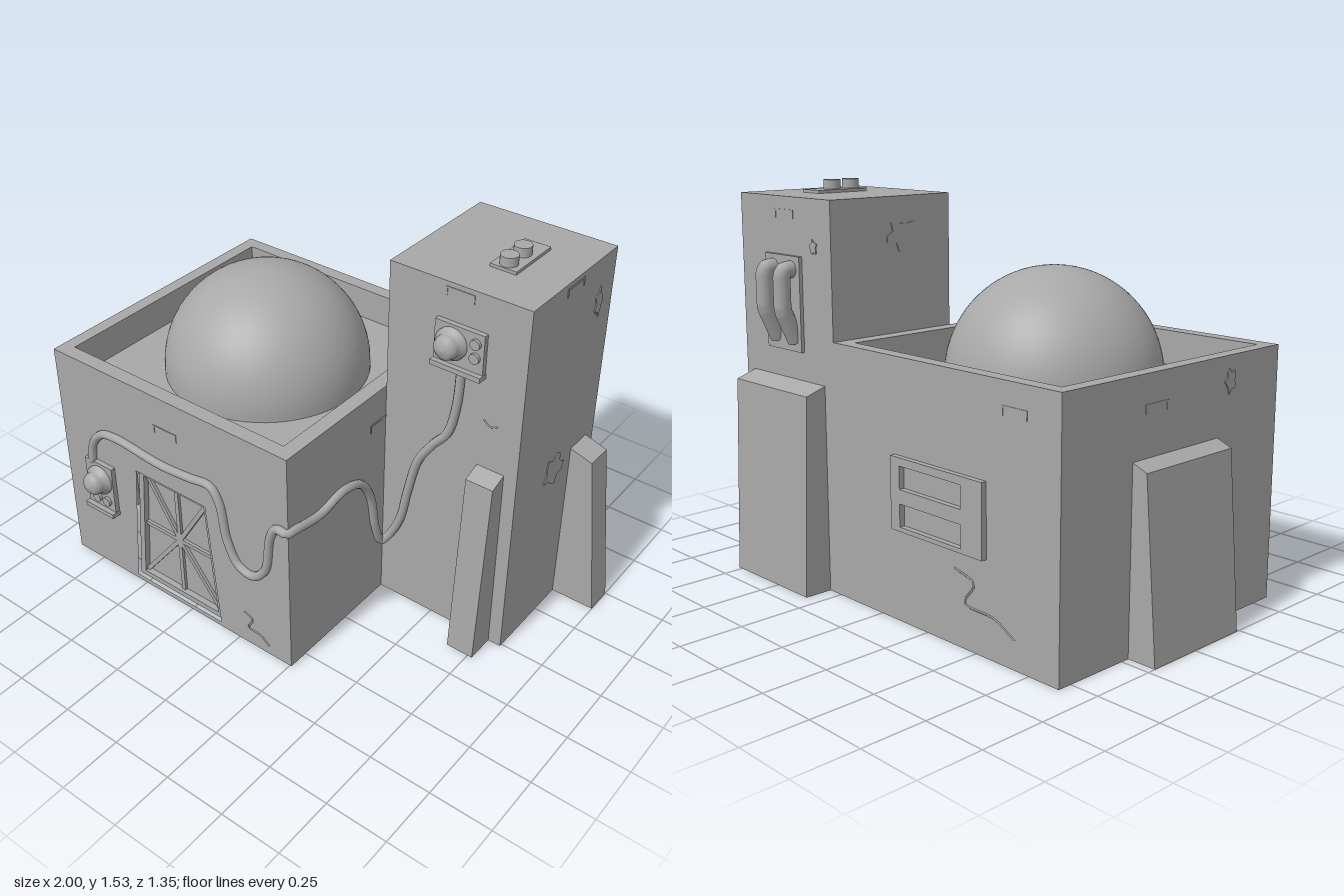
import * as THREE from 'three';

const plaster = new THREE.MeshStandardMaterial({ color: 0xa8a8a8, side: THREE.DoubleSide });
plaster.name = 'plaster grey';
const domePlaster = plaster;

const TURN = { front: 0, right: Math.PI / 2, back: Math.PI, left: -Math.PI / 2 };

function mesh(name, geo, x = 0, y = 0, z = 0) {
  const m = new THREE.Mesh(geo, plaster);
  m.name = name;
  m.position.set(x, y, z);
  return m;
}

// Sets an object built facing +z onto one of the four walls
function place(obj, side, x, y, z) {
  obj.position.set(x, y, z);
  obj.rotation.y = TURN[side];
  return obj;
}

function polygon(points, Type = THREE.Shape) {
  return new Type(points.map(p => new THREE.Vector2(p[0], p[1])));
}

function extrude(shape, depth) {
  return new THREE.ExtrudeGeometry(shape, { depth, bevelEnabled: false });
}

function rect(x0, y0, x1, y1) {
  return [[x0, y0], [x1, y0], [x1, y1], [x0, y1]];
}

// Box standing on y = 0 with chosen faces left open (0 +x, 1 -x, 2 +y, 3 -y, 4 +z, 5 -z)
function shell(name, x0, x1, h, z0, z1, open) {
  const geo = new THREE.BoxGeometry(x1 - x0, h, z1 - z0);
  const index = Array.from(geo.index.array);
  geo.setIndex(index.filter((v, i) => !open.includes(Math.floor(i / 6))));
  geo.clearGroups();
  return mesh(name, geo, (x0 + x1) / 2, h / 2, (z0 + z1) / 2);
}

// Leaning support with a sloped cap
function buttress(name, width, base, top, inner, outer) {
  const geo = extrude(polygon([[-0.01, 0], [base, 0], [top, outer], [0, inner], [-0.01, inner]]), width);
  geo.translate(0, 0, -width / 2);
  geo.rotateY(-Math.PI / 2);
  return mesh(name, geo);
}

// Wall unit: back plate, domed lamp, two buttons and a ledge
function controlBox(name, w, h, lamp, buttons) {
  const g = new THREE.Group();
  g.name = name;
  g.add(mesh('backPlate', new THREE.BoxGeometry(w, h, 0.02), 0, 0, 0.01));
  g.add(mesh('ledge', new THREE.BoxGeometry(w + 0.005, 0.02, 0.04), 0, -h / 2 + 0.01, 0.02));
  const profile = [[0.062, 0.015], [0.062, 0.033], [0.047, 0.037], [0.047, 0.055],
    [0.042, 0.072], [0.028, 0.084], [0, 0.09]].map(p => new THREE.Vector2(p[0], p[1]));
  const knob = new THREE.LatheGeometry(profile, 24);
  knob.rotateX(Math.PI / 2);
  g.add(mesh('lamp', knob, lamp[0], lamp[1], 0));
  for (const [x, y] of buttons) {
    const b = new THREE.CylinderGeometry(0.02, 0.02, 0.012, 16);
    b.rotateX(Math.PI / 2);
    g.add(mesh('button', b, x, y, 0.026));
  }
  return g;
}

// Exposed brick edge: a shallow upside-down U
function brickMark() {
  const g = new THREE.Group();
  g.name = 'brickMark';
  g.add(mesh('brickTop', new THREE.BoxGeometry(0.115, 0.007, 0.005), 0, 0.015, 0));
  for (const s of [-1, 1]) g.add(mesh('brickEnd', new THREE.BoxGeometry(0.007, 0.03, 0.005), s * 0.054, 0, 0));
  return g;
}

// Chipped plaster patch with an uneven outline
function patch(w, h, seed) {
  const pts = [];
  for (let i = 0; i < 14; i++) {
    const a = (i / 14) * Math.PI * 2;
    const r = 0.78 + 0.22 * Math.sin(i * 2.3 + seed);
    pts.push([Math.cos(a) * r * w / 2, Math.sin(a) * r * h / 2]);
  }
  return mesh('chippedPatch', extrude(polygon(pts), 0.004));
}

// Thin crack line along a wall
function crack(points) {
  const curve = new THREE.CatmullRomCurve3(points.map(p => new THREE.Vector3(p[0], p[1], 0)));
  return mesh('crack', new THREE.TubeGeometry(curve, 20, 0.004, 4));
}

export function createModel() {
  const model = new THREE.Group();
  model.name = 'domedHouse';
  const L = -0.885, R = 0.257, B = -0.557, F = 0.585, roofY = 0.84, wallY = 0.972;
  const TR = 0.822, TF = 0.012, TH = 1.487;

  // House walls, front wall with door opening, parapet
  model.add(shell('houseWalls', L, R, roofY, B, F, [3, 4]));
  const doorOutline = [[-0.545, 0.022], [-0.095, 0.022], [-0.142, 0.573], [-0.495, 0.573]];
  const front = polygon(rect(L, 0, R, roofY));
  front.holes.push(polygon(doorOutline, THREE.Path));
  model.add(mesh('frontWall', new THREE.ShapeGeometry(front), 0, 0, F));
  const ring = polygon(rect(L, -F, R, -B));
  ring.holes.push(polygon(rect(-0.832, -0.527, 0.198, 0.502), THREE.Path));
  const parapet = extrude(ring, wallY - roofY);
  parapet.rotateX(-Math.PI / 2);
  model.add(mesh('parapet', parapet, 0, roofY, 0));

  // Recessed door with radiating bars
  const door = new THREE.Group();
  door.name = 'door';
  const inset = [[-0.518, 0.045], [-0.122, 0.045], [-0.164, 0.55], [-0.473, 0.55]];
  const jamb = polygon(doorOutline);
  jamb.holes.push(polygon(inset, THREE.Path));
  door.add(mesh('doorFrame', extrude(jamb, 0.025), 0, 0, F - 0.04));
  door.add(mesh('doorPanel', new THREE.ShapeGeometry(polygon(doorOutline)), 0, 0, F - 0.04));
  const hub = [-0.319, 0.3];
  const ends = [...inset, [-0.319, 0.045], [-0.319, 0.55], [-0.495, 0.3], [-0.143, 0.3]];
  for (const [x, y] of ends) {
    const dx = x - hub[0], dy = y - hub[1];
    const bar = mesh('doorBar', new THREE.BoxGeometry(Math.hypot(dx, dy), 0.018, 0.012),
      hub[0] + dx / 2, hub[1] + dy / 2, F - 0.034);
    bar.rotation.z = Math.atan2(dy, dx);
    door.add(bar);
  }
  model.add(door);

  // Roof dome
  const dome = mesh('dome', new THREE.SphereGeometry(0.4, 64, 20, 0, Math.PI * 2, 0, Math.PI / 2), -0.313, 0.858, 0.01);
  dome.material = domePlaster;
  model.add(dome);
  model.add(mesh('domeBase', new THREE.CylinderGeometry(0.4, 0.4, 0.02, 64, 1, true), -0.313, 0.849, 0.01));

  // Tower
  model.add(shell('tower', R, TR, TH, B, TF, [3]));

  // Buttresses
  model.add(place(buttress('leftWallButtress', 0.455, 0.115, 0.06, 0.685, 0.66), 'left', L, 0, 0.01));
  model.add(place(buttress('towerSideButtress', 0.113, 0.178, 0.093, 0.71, 0.682), 'right', TR, 0, -0.444));
  model.add(place(buttress('towerFrontButtress', 0.112, 0.118, 0.07, 0.8, 0.775), 'front', 0.713, 0, TF));
  model.add(place(buttress('towerBackButtress', 0.455, 0.113, 0.085, 0.8, 0.772), 'back', 0.542, 0, B));

  // Control boxes
  model.add(place(controlBox('houseControlBox', 0.145, 0.23, [0.005, 0.04], [[-0.018, -0.055], [0.035, -0.055]]),
    'front', -0.69, 0.415, F));
  model.add(place(controlBox('towerControlBox', 0.2, 0.175, [-0.028, 0.015], [[0.068, 0.047], [0.068, -0.008]]),
    'front', 0.563, 1.255, TF));

  // Cable from the house box round the corner and up the tower
  const zf = F + 0.008, xs = R + 0.01, zt = TF + 0.012;
  const cablePts = [
    [-0.73, 0.52, zf], [-0.715, 0.61, zf], [-0.66, 0.675, zf], [-0.58, 0.692, zf], [-0.35, 0.675, zf],
    [-0.2, 0.685, zf], [-0.1, 0.695, zf], [-0.06, 0.64, zf], [-0.03, 0.48, zf], [0.02, 0.385, zf],
    [0.09, 0.368, zf], [0.15, 0.43, zf], [0.18, 0.6, zf], [0.21, 0.655, zf], [xs - 0.008, 0.657, zf],
    [xs, 0.657, F - 0.03], [xs, 0.635, 0.42], [xs, 0.657, 0.28], [xs, 0.625, 0.18], [xs, 0.53, 0.115],
    [xs, 0.35, 0.075], [xs + 0.003, 0.26, zt + 0.012], [0.3, 0.3, zt], [0.345, 0.4, zt], [0.375, 0.55, zt],
    [0.415, 0.71, zt], [0.475, 0.81, zt], [0.535, 0.89, zt], [0.565, 1.02, zt], [0.575, 1.18, zt],
  ].map(p => new THREE.Vector3(...p));
  model.add(mesh('cable', new THREE.TubeGeometry(new THREE.CatmullRomCurve3(cablePts), 220, 0.017, 10)));

  // Slotted vent on the back wall
  const vent = polygon(rect(-0.233, -0.135, 0.233, 0.135));
  for (const y of [-0.118, 0.02]) vent.holes.push(polygon(rect(-0.185, y, 0.13, y + 0.085), THREE.Path));
  model.add(place(mesh('backVent', extrude(vent, 0.022)), 'back', -0.318, 0.485, B));

  // Bent pipes on the tower back
  const pipes = new THREE.Group();
  pipes.name = 'towerPipes';
  pipes.add(mesh('pipePlate', new THREE.BoxGeometry(0.215, 0.36, 0.014), 0, 0, 0.007));
  const bend = new THREE.CurvePath();
  const stops = [[0.13, 0], [0.13, 0.04], [0.122, 0.053], [0.105, 0.057], [-0.01, 0.057], [-0.03, 0.052], [-0.14, 0]]
    .map(p => new THREE.Vector3(0, p[0], p[1]));
  for (let i = 1; i < stops.length; i++) bend.add(new THREE.LineCurve3(stops[i - 1], stops[i]));
  for (const s of [-1, 1]) pipes.add(mesh('pipe', new THREE.TubeGeometry(bend, 40, 0.033, 16), s * 0.056, 0, 0));
  model.add(place(pipes, 'back', 0.543, 1.09, B));

  // Tower roof plate with two stubs
  model.add(mesh('roofPlate', new THREE.BoxGeometry(0.105, 0.012, 0.228), 0.6, TH + 0.006, -0.273));
  for (const z of [-0.286, -0.197])
    model.add(mesh('roofStub', new THREE.CylinderGeometry(0.033, 0.033, 0.045, 24), 0.6, TH + 0.025, z));

  // Weathering: brick edges, chipped patches, cracks
  const marks = [['front', -0.32, 0.825, F], ['front', 0.545, 1.45, TF], ['right', TR, 1.45, -0.27],
    ['right', R, 0.825, 0.05], ['back', 0.54, 1.42, B], ['back', -0.68, 0.87, B], ['left', L, 0.85, -0.1]];
  for (const m of marks) model.add(place(brickMark(), ...m));
  const patches = [[0.06, 0.13, 1, 'right', TR, 1.31, -0.455], [0.15, 0.16, 2, 'right', TR, 0.69, -0.26],
    [0.19, 0.13, 3, 'left', R, 1.34, -0.22], [0.07, 0.1, 4, 'left', L, 0.88, 0.3], [0.05, 0.06, 5, 'back', 0.36, 1.31, B]];
  for (const [w, h, seed, ...where] of patches) model.add(place(patch(w, h, seed), ...where));
  const squiggle = [[-0.06, 0.05], [-0.02, 0.03], [-0.04, -0.02], [0.02, -0.03], [0.06, -0.06]];
  model.add(place(crack(squiggle), 'front', 0.09, 0.1, F));
  model.add(place(crack(squiggle.map(p => [p[0] * 2.4, p[1] * 1.6])), 'back', -0.54, 0.2, B));
  model.add(place(crack([[-0.03, 0.02], [0, 0], [0.03, 0.01]]), 'front', 0.7, 0.98, TF));
  return model;
}
